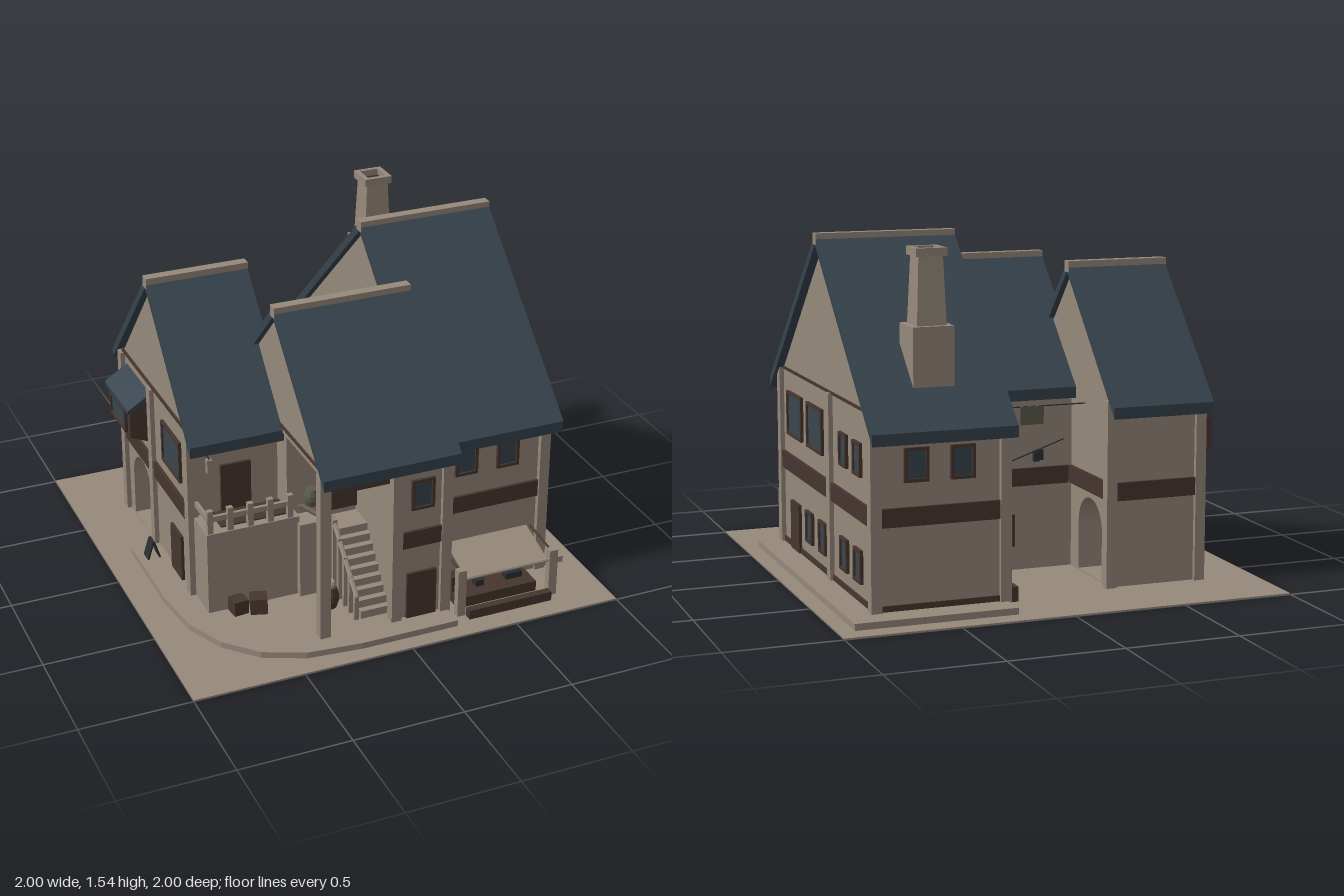
import * as THREE from 'three';

export function createModel() {
  const root = new THREE.Group();
  const mat = (name, color) => {
    const m = new THREE.MeshStandardMaterial({ color, side: THREE.DoubleSide, flatShading: true });
    m.name = name;
    return m;
  };
  const plaster = mat('plaster', 0x96897a), roofBlue = mat('slate roof', 0x36434d);
  const wood = mat('dark wood', 0x46362f), frameWood = mat('frame wood', 0x55432f);
  const glass = mat('glass', 0x39454e), iron = mat('iron', 0x2b2e30), moss = mat('dull green', 0x5a5a4c);

  const add = (name, geo, m, parent = root) => {
    const mesh = new THREE.Mesh(geo, m);
    mesh.name = name;
    parent.add(mesh);
    return mesh;
  };
  // box given by its limits on each axis
  const box = (name, m, x0, x1, y0, y1, z0, z1, parent) => {
    const mesh = add(name, new THREE.BoxGeometry(x1 - x0, y1 - y0, z1 - z0), m, parent);
    mesh.position.set((x0 + x1) / 2, (y0 + y1) / 2, (z0 + z1) / 2);
    return mesh;
  };
  const shapeOf = pts => new THREE.Shape(pts.map(p => new THREE.Vector2(...p)));
  // (z, y) outline extruded from x0 to x1
  const prismX = (name, m, shape, x0, x1) => {
    const g = new THREE.ExtrudeGeometry(shape, { depth: x1 - x0, bevelEnabled: false });
    g.rotateY(-Math.PI / 2).translate(x1, 0, 0);
    return add(name, g, m);
  };
  // round bar between two points
  const bar = (name, m, a, b, r) => {
    const curve = new THREE.LineCurve3(new THREE.Vector3(...a), new THREE.Vector3(...b));
    return add(name, new THREE.TubeGeometry(curve, 1, r, 6), m);
  };

  // ground and raised pavements
  box('ground', plaster, -1, 1, 0, 0.006, -1, 1);
  box('pavementRight', plaster, 0.22, 0.93, 0.006, 0.035, -0.91, 0.63);
  const pave = shapeOf([[-0.87, 0.2], [0.25, 0.2], [0.25, -0.925], [-0.2, -0.925], [-0.45, -0.9],
    [-0.63, -0.82], [-0.76, -0.68], [-0.84, -0.5], [-0.87, -0.25]]);
  add('pavementFront', new THREE.ExtrudeGeometry(pave, { depth: 0.029, bevelEnabled: false })
    .rotateX(-Math.PI / 2).translate(0, 0.006, 0), plaster);

  // gabled roof: slab, pale ridge cap
  const roof = (name, x0, x1, zr, top, half, eave) => {
    const t = 0.05;
    prismX(name, roofBlue, shapeOf([[zr - half, eave], [zr - half, eave + t], [zr, top - 0.003],
      [zr + half, eave + t], [zr + half, eave], [zr, top - t]]), x0, x1);
    box(name + 'RidgeCap', plaster, x0 - 0.002, x1 + 0.002, top - 0.05, top, zr - 0.024, zr + 0.024);
  };
  roof('roofRight', 0.21, 0.84, -0.08, 1.54, 0.8, 0.747);
  roof('roofMiddle', -0.36, 0.27, 0.31, 1.39, 0.56, 0.782);
  roof('roofLeft', -0.76, -0.29, -0.185, 1.39, 0.535, 0.762);

  // house bodies
  const house = (z0, z1, zr, yBase, yEave, yTop) =>
    shapeOf([[z0, yBase], [z1, yBase], [z1, yEave], [zr, yTop], [z0, yEave]]);
  prismX('houseRight', plaster, house(-0.78, 0.62, -0.08, 0, 0.835, 1.485), 0.235, 0.805);
  prismX('atticMiddle', plaster, house(-0.2, 0.81, 0.305, 0.8, 0.83, 1.335), -0.335, 0.25);
  box('houseMiddle', plaster, 0, 0.245, 0, 0.82, -0.2, 0.81);
  box('houseMiddleRear', plaster, -0.33, 0, 0, 0.82, -0.2, 0.38);
  const left = house(-0.64, 0.27, -0.185, 0, 0.82, 1.33);
  const arch = new THREE.Path();
  arch.moveTo(-0.55, 0.012);
  arch.lineTo(-0.55, 0.23);
  arch.absarc(-0.42, 0.23, 0.13, Math.PI, 0, true);
  arch.lineTo(-0.29, 0.012);
  arch.closePath();
  left.holes.push(arch);
  prismX('houseLeft', plaster, left, -0.735, -0.31);

  // corner posts
  const post = (x, z, top = 0.83) => box('cornerPost', plaster, x - 0.024, x + 0.024, 0, top, z - 0.024, z + 0.024);
  for (const z of [0.62, -0.18, -0.777]) post(0.801, z, 0.86);
  post(0.233, 0.62); post(0.233, -0.777); post(0.233, 0.806);
  post(-0.335, 0.806); post(0, 0.806, 0.8);
  for (const z of [-0.635, -0.225, 0.262]) post(-0.732, z);
  post(-0.31, -0.635);

  // timber bands on the walls
  const bandX = (x0, x1, z) => box('floorBeam', wood, x0, x1, 0.39, 0.47, z - 0.012, z + 0.012);
  const bandZ = (x, z0, z1) => box('floorBeam', wood, x - 0.012, x + 0.012, 0.39, 0.47, z0, z1);
  bandX(0.255, 0.78, 0.622); bandX(0.255, 0.78, -0.782); bandX(0.02, 0.21, 0.812);
  bandX(-0.13, 0, 0.382); bandX(-0.71, -0.33, -0.642); bandX(-0.29, 0.23, -0.202);
  bandZ(0.807, -0.155, 0.6); bandZ(0.807, -0.755, -0.2); bandZ(0.247, 0.63, 0.785);
  bandZ(0.233, -0.755, -0.2); bandZ(-0.737, -0.61, -0.25); bandZ(-0.737, -0.2, 0.24); bandZ(-0.308, -0.61, -0.2);
  box('gableBeam', wood, 0.8, 0.812, 0.855, 0.867, -0.77, 0.61);
  box('gableBeam', wood, -0.745, -0.73, 0.835, 0.847, -0.63, 0.25);
  box('gableBeam', wood, -0.343, -0.33, 0.83, 0.842, -0.18, 0.79);
  box('baseBoard', wood, 0.8, 0.812, 0.035, 0.06, -0.755, 0.6);
  box('baseBoard', wood, 0.255, 0.78, 0.035, 0.06, 0.615, 0.627);
  box('baseBoard', wood, 0.255, 0.78, 0.035, 0.06, -0.787, -0.775);
  box('porchBeam', wood, -0.31, 0, 0.71, 0.75, 0.75, 0.79);

  // windows and doors, turned to face each wall
  const turn = { front: 0, right: Math.PI / 2, back: Math.PI, left: -Math.PI / 2 };
  const place = (name, face, across, plane, y) => {
    const g = new THREE.Group();
    g.name = name;
    g.rotation.y = turn[face];
    if (face === 'front' || face === 'back') g.position.set(across, y, plane);
    else g.position.set(plane, y, across);
    root.add(g);
    return g;
  };
  const window_ = (face, across, plane, y, w = 0.108, h = 0.145) => {
    const g = place('window', face, across, plane, y), e = 0.014;
    box('pane', glass, -w / 2 + e, w / 2 - e, -h / 2 + e, h / 2 - e, 0, 0.006, g);
    for (const s of [-1, 1]) {
      box('frameSide', wood, s * (w - e) / 2 - e / 2, s * (w - e) / 2 + e / 2, -h / 2, h / 2, 0, 0.014, g);
      box('frameRail', wood, -w / 2, w / 2, s * (h - e) / 2 - e / 2, s * (h - e) / 2 + e / 2, 0, 0.014, g);
    }
  };
  const door = (face, across, plane, y0, y1) =>
    box('doorLeaf', wood, -0.07, 0.07, 0, y1 - y0, 0, 0.014, place('door', face, across, plane, y0));
  for (const z of [0.165, -0.045, -0.375, -0.575]) window_('right', z, 0.805, 0.19);
  for (const z of [-0.375, -0.575]) window_('right', z, 0.805, 0.645);
  for (const z of [0.39, 0.06]) window_('right', z, 0.805, 0.663, 0.243, 0.205);
  for (const x of [0.42, 0.622]) { window_('front', x, 0.62, 0.645); window_('back', x, -0.78, 0.645); }
  window_('front', 0.12, 0.81, 0.645);
  window_('back', 0.02, -0.2, 0.19);
  window_('left', 0.04, -0.735, 0.64, 0.24, 0.2);
  door('right', 0.39, 0.805, 0.035, 0.26);
  door('front', 0.12, 0.81, 0.035, 0.26);
  door('front', -0.53, 0.27, 0.43, 0.66);
  door('left', 0.08, -0.735, 0.035, 0.26);

  // bay on the left wall with lean-to roof
  const bay = (name, m, pts, z0, z1) => add(name, new THREE.ExtrudeGeometry(shapeOf(pts),
    { depth: z1 - z0, bevelEnabled: false }).translate(0, 0, z0), m);
  bay('bayBody', wood, [[-0.73, 0.53], [-0.83, 0.57], [-0.83, 0.715], [-0.73, 0.76]], -0.56, -0.27);
  bay('bayRoof', roofBlue, [[-0.73, 0.755], [-0.845, 0.70], [-0.845, 0.718], [-0.73, 0.79]], -0.585, -0.25);
  window_('left', -0.415, -0.83, 0.64, 0.22, 0.11);

  // chimney with tapered stack and open cap
  box('chimneyBase', plaster, 0.43, 0.61, 0.8, 1.2, -0.715, -0.54);
  add('chimneyStack', new THREE.CylinderGeometry(0.075, 0.092, 0.29, 4).rotateY(Math.PI / 4)
    .translate(0.52, 1.34, -0.627), plaster);
  const square = r => [[-r, -r], [r, -r], [r, r], [-r, r]];
  const cap = shapeOf(square(0.067));
  cap.holes.push(new THREE.Path(square(0.045).map(p => new THREE.Vector2(...p))));
  add('chimneyCap', new THREE.ExtrudeGeometry(cap, { depth: 0.035, bevelEnabled: false })
    .rotateX(-Math.PI / 2).translate(0.52, 1.485, -0.627), plaster);
  box('chimneyMouth', iron, 0.475, 0.565, 1.484, 1.49, -0.672, -0.582);

  // terrace with railing
  box('terrace', plaster, -0.73, -0.3, 0, 0.43, 0.26, 0.45);
  box('terraceFloor', wood, -0.65, -0.33, 0.43, 0.436, 0.28, 0.41);
  for (let i = 0; i < 5; i++) {
    const x = -0.71 + i * 0.093;
    box('railPost', plaster, x - 0.013, x + 0.013, 0.43, 0.54, 0.42, 0.445);
  }
  box('handRail', plaster, -0.725, -0.335, 0.485, 0.51, 0.424, 0.44);
  box('handRailSide', plaster, -0.725, -0.71, 0.485, 0.51, 0.28, 0.43);

  // stairs: front flight, landing, turn to the terrace
  for (let i = 0; i < 9; i++)
    box('step', plaster, -0.135, 0, 0, 0.072 + i * 0.036, 0.72 - i * 0.03, 0.75 - i * 0.03);
  box('landing', plaster, -0.2, 0, 0, 0.36, 0.37, 0.48);
  box('turnStep', plaster, -0.31, -0.2, 0, 0.4, 0.37, 0.48);
  for (let i = 0; i < 5; i++) {
    const y = 0.05 + i * 0.062, z = 0.74 - i * 0.06;
    box('stairBaluster', plaster, -0.165, -0.145, 0.02, y + 0.11, z - 0.01, z + 0.01);
  }
  bar('stairRail', plaster, [-0.155, 0.15, 0.75], [-0.155, 0.41, 0.48], 0.011);
  bar('turnRail', plaster, [-0.155, 0.38, 0.48], [-0.31, 0.5, 0.47], 0.011);

  // market stall
  const awning = box('awning', plaster, 0.325, 0.725, -0.004, 0.004, -0.112, 0.112);
  awning.position.set(0.525, 0.217, 0.745);
  awning.rotation.x = 0.3;
  for (const x of [0.3, 0.75]) {
    box('stallPost', plaster, x - 0.02, x + 0.02, 0, 0.235, 0.825, 0.86);
    bar('stallArm', wood, [x, 0.22, 0.84], [x, 0.24, 0.63], 0.006);
  }
  bar('awningBar', plaster, [0.3, 0.188, 0.85], [0.75, 0.188, 0.85], 0.008);
  box('bench', wood, 0.32, 0.725, 0.006, 0.05, 0.865, 0.9);
  box('counter', wood, 0.31, 0.7, 0.006, 0.055, 0.66, 0.8);
  box('stallCrate', wood, 0.31, 0.37, 0.055, 0.13, 0.68, 0.74);
  for (const x of [0.45, 0.6, 0.64]) box('goods', iron, x - 0.02, x + 0.02, 0.055, 0.085, 0.7, 0.74);

  // crates, barrels and small yard pieces
  const crate = (x, y, z, s, a) => {
    const c = box('crate', wood, -s / 2, s / 2, 0, s, -s / 2, s / 2);
    c.position.set(x, y + s / 2, z);
    c.rotation.y = a;
  };
  crate(-0.605, 0.035, 0.485, 0.068, 0.1); crate(-0.52, 0.035, 0.51, 0.075, -0.3);
  crate(0.178, 0.006, -0.685, 0.065, 0); crate(0.17, 0.006, -0.35, 0.065, 0.2);
  crate(0.15, 0.006, -0.29, 0.06, 0.1); crate(0.17, 0.07, -0.34, 0.055, 0.3);
  const barrel = (x, y, z, r, h, m) => {
    const pts = [[0, 0], [0.75, 0], [1, 0.35], [1, 0.65], [0.75, 1], [0, 1]];
    add('barrel', new THREE.LatheGeometry(pts.map(p => new THREE.Vector2(p[0] * r, p[1] * h)), 12), m)
      .position.set(x, y, z);
  };
  barrel(0.172, 0.006, -0.607, 0.037, 0.09, wood);
  barrel(-0.22, 0.035, 0.6, 0.042, 0.1, wood);
  barrel(-0.22, 0.13, 0.6, 0.03, 0.035, plaster);
  barrel(-0.25, 0.49, 0.47, 0.035, 0.08, moss);
  for (const s of [-1, 1]) {
    const board = box('signBoard', iron, -0.004, 0.004, -0.045, 0.045, -0.03, 0.03);
    board.position.set(-0.803 + s * 0.015, 0.078, -0.105);
    board.rotation.z = s * 0.3;
  }
  bar('lampHook', iron, [-0.66, 0.72, 0.27], [-0.66, 0.72, 0.31], 0.004);
  box('wallLamp', plaster, -0.672, -0.648, 0.65, 0.715, 0.29, 0.315);

  // courtyard lines with lanterns and cloth
  bar('line', iron, [0.22, 0.62, -0.77], [-0.25, 0.6, -0.25], 0.003);
  bar('line', iron, [0.23, 0.78, -0.38], [-0.3, 0.78, -0.38], 0.003);
  for (const [x, z] of [[-0.01, -0.52], [-0.04, -0.49]]) box('lantern', iron, x - 0.012, x + 0.012, 0.565, 0.61, z - 0.012, z + 0.012);
  box('cloth', moss, -0.1, 0.01, 0.7, 0.782, -0.386, -0.376);

  return root;
}
